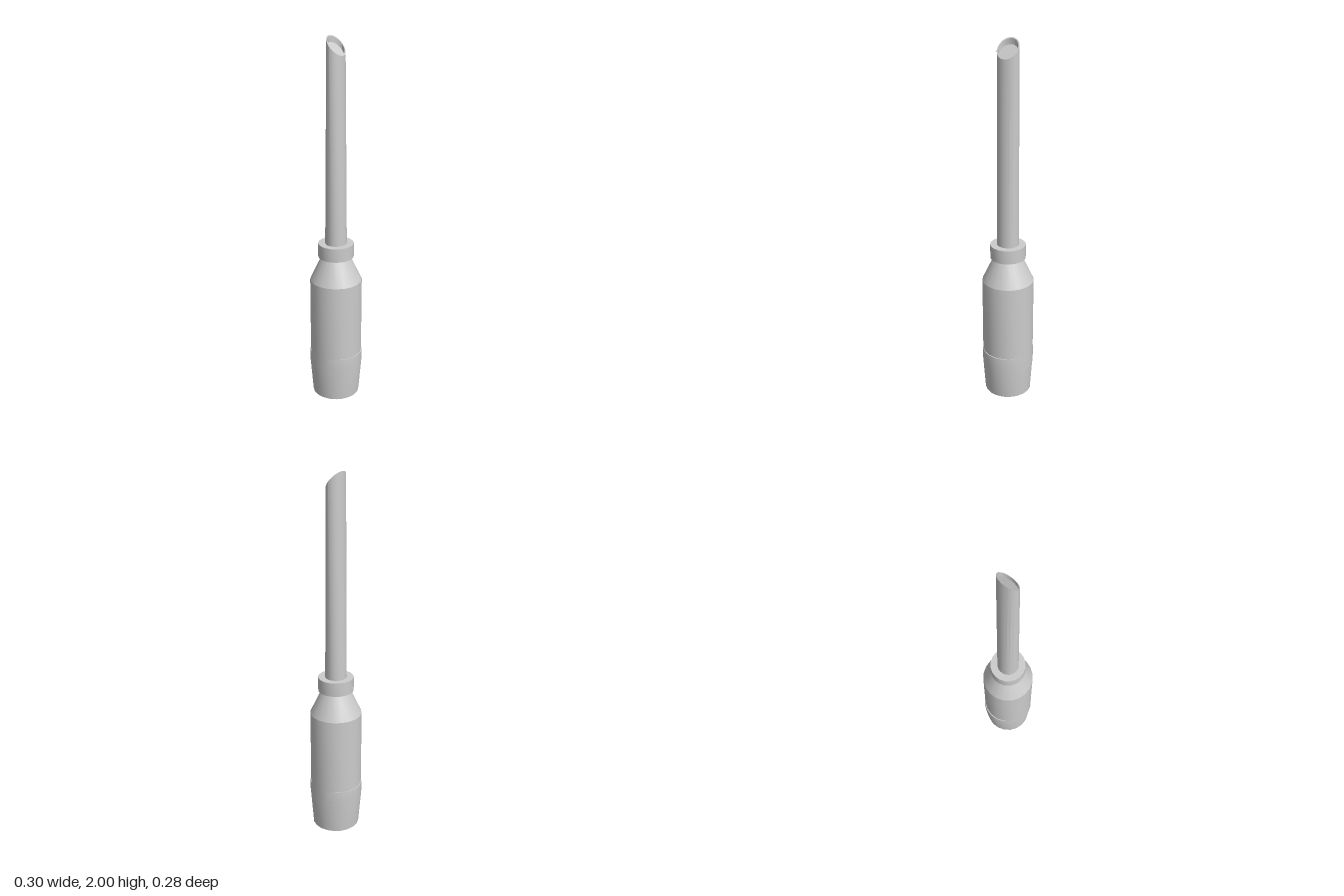
import * as THREE from 'three';
import { toCreasedNormals } from 'three/addons/utils/BufferGeometryUtils.js';

const SIDES = 20;
const material = new THREE.MeshStandardMaterial({ color: 0xcccccc, side: THREE.DoubleSide });

// Turned part from [radius, height] pairs, optionally reshaped by a vertex rule
function turned(name, profile, rule) {
  const points = profile.map(([r, y]) => new THREE.Vector2(r, y));
  const geometry = new THREE.LatheGeometry(points, SIDES);
  if (rule) {
    const pos = geometry.attributes.position;
    const v = new THREE.Vector3();
    for (let i = 0; i < pos.count; i++) {
      rule(v.fromBufferAttribute(pos, i));
      pos.setXYZ(i, v.x, v.y, v.z);
    }
  }
  const mesh = new THREE.Mesh(toCreasedNormals(geometry, 0.42), material);
  mesh.name = name;
  return mesh;
}

export function createModel() {
  const group = new THREE.Group();
  group.name = 'handTool';

  // Main grip with sloping shoulder
  group.add(turned('handle', [
    [0, 0.17], [0.142, 0.17], [0.142, 0.69], [0.076, 0.83], [0, 0.83],
  ]));

  // Tapered butt, widened sideways so it stands proud of the grip left and right
  group.add(turned('handleBase', [
    [0, 0], [0.13, 0], [0.142, 0.2], [0.141, 0.26], [0, 0.26],
  ], (v) => { v.x *= 1 + 0.045 * Math.min(1, v.y / 0.2); }));

  // Collar between grip and shaft
  group.add(turned('collar', [
    [0, 0.825], [0.097, 0.825], [0.097, 0.902], [0, 0.902],
  ]));

  // Shaft: flattens towards the tip, cut at a slant, with a hollow end
  const tip = 1.952;
  group.add(turned('shaft', [
    [0, 0.88], [0.06, 0.88], [0.06, tip], [0.054, tip], [0.054, tip - 0.03], [0, tip - 0.03],
  ], (v) => {
    const t = (v.y - 0.88) / (tip - 0.88);
    v.x *= 0.97 - 0.27 * t;
    if (t > 0.5) v.y -= v.x * 1.14;
  }));

  return group;
}
